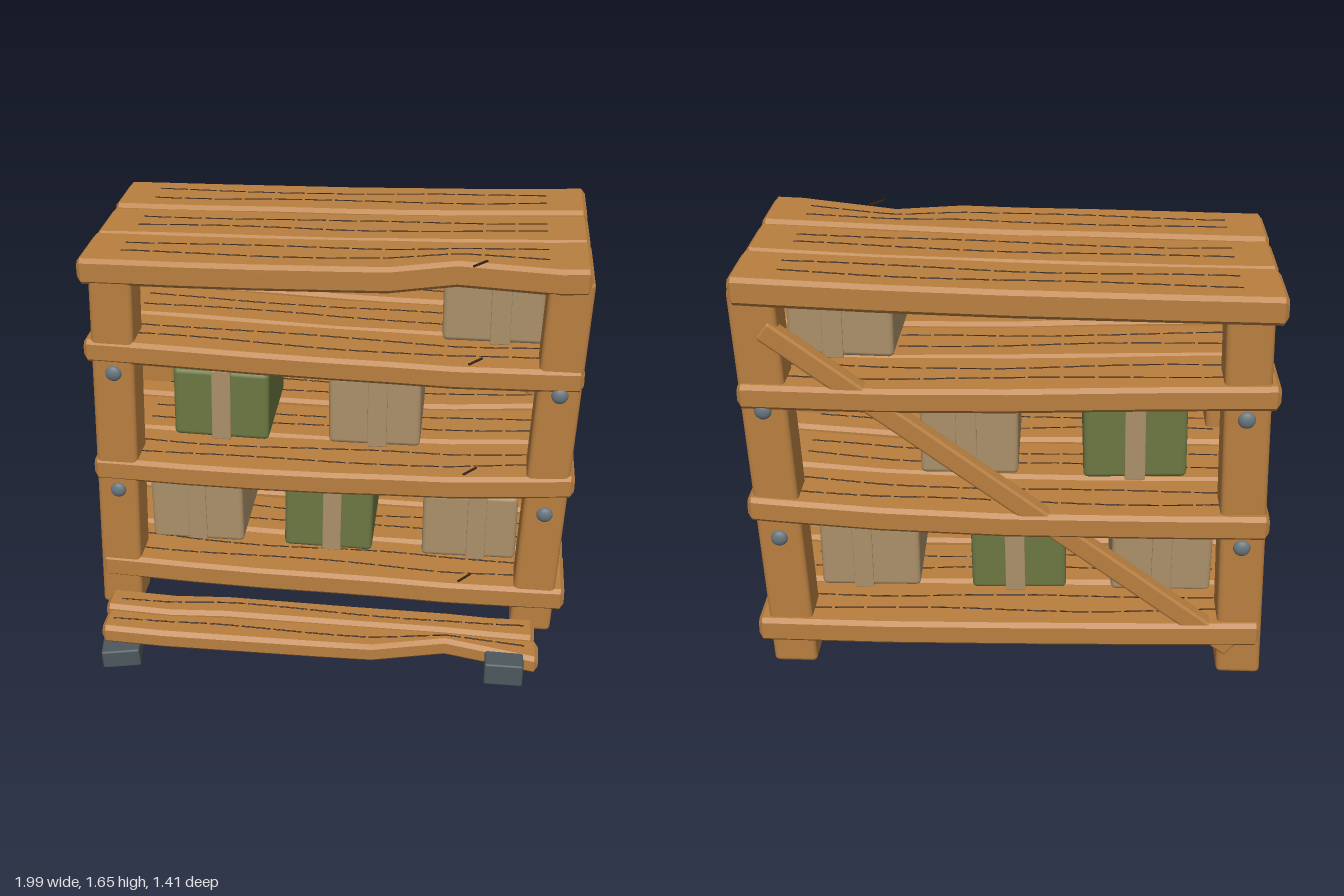
import * as THREE from 'three';
import { toCreasedNormals, mergeGeometries } from 'three/addons/utils/BufferGeometryUtils.js';
import { RoundedBoxGeometry } from 'three/addons/geometries/RoundedBoxGeometry.js';

const mat = (name, color) => {
  const m = new THREE.MeshStandardMaterial({ color });
  m.name = name;
  return m;
};

// Chamfered beam along x; each section is [x, yTop, yBottom, zBack, zFront]
function loft(sections, c) {
  const inset = ([x, t, b, k, f], dx) => [x + dx, t - c, b + c, k + c, f - c];
  const n = sections.length;
  const first = sections[0], last = sections[n - 1];
  const all = [
    inset(first, 0), [first[0] + c, ...first.slice(1)],
    ...sections.slice(1, -1),
    [last[0] - c, ...last.slice(1)], inset(last, 0),
  ];
  const pos = [], idx = [];
  for (const [x, t, b, k, f] of all) {
    pos.push(x, t, f - c, x, t - c, f, x, b + c, f, x, b, f - c);
    pos.push(x, b, k + c, x, b + c, k, x, t - c, k, x, t, k + c);
  }
  const rows = all.length, end = (rows - 1) * 8;
  for (let i = 0; i < rows - 1; i++) {
    for (let j = 0; j < 8; j++) {
      const a = i * 8 + j, b = i * 8 + (j + 1) % 8;
      idx.push(a, b, b + 8, a, b + 8, a + 8);
    }
  }
  for (let j = 1; j < 7; j++) idx.push(0, j + 1, j, end, end + j, end + j + 1);
  const g = new THREE.BufferGeometry();
  g.setAttribute('position', new THREE.Float32BufferAttribute(pos, 3));
  g.setIndex(idx);
  return toCreasedNormals(g, 0.5);
}

// Linear interpolation in a list of rows keyed by their first number
function sample(rows, x) {
  let i = 0;
  while (i < rows.length - 2 && x > rows[i + 1][0]) i++;
  const a = rows[i], b = rows[i + 1];
  const t = (x - a[0]) / (b[0] - a[0]);
  return a.map((v, j) => v + (b[j] - v) * t);
}

export function createModel() {
  const root = new THREE.Group();
  root.name = 'shelfRack';
  const wood = mat('wood', 0xb97f40);
  const grainDark = mat('darkGrain', 0x3a2413);
  const kraft = mat('cardboard', 0xab9069);
  const green = mat('greenCardboard', 0x6b7742);
  const bolt = mat('boltSteel', 0x68757d);
  const iron = mat('darkIron', 0x4d575d);

  const add = (name, geo, material, parent = root) => {
    const m = new THREE.Mesh(geo, material);
    m.name = name;
    parent.add(m);
    return m;
  };

  // Plank with broken grain lines following its top
  function plank(name, sections, fractions, phase) {
    const g = new THREE.Group();
    g.name = name;
    root.add(g);
    add('board', loft(sections, 0.016), wood, g);
    const dashes = [];
    fractions.forEach((f, k) => {
      const row = x => {
        const [, t, , zb, zf] = sample(sections, x);
        const z = zb + (zf - zb) * f + 0.01 * Math.sin(x * 5 + phase + k * 2);
        return [x, t + 0.003, t - 0.004, z - 0.003, z + 0.003];
      };
      for (let i = 0; i < 13; i++) {
        const x = -0.83 + i * 0.128;
        dashes.push(loft([row(x), row(x + 0.06), row(x + 0.116)], 0.001));
      }
    });
    add('grain', mergeGeometries(dashes), grainDark, g);
  }

  // Shelves: sagging top line and thickness of each level, three planks deep
  const levels = [
    { name: 'bottomShelf', h: 0.103, tops: [0.25, 0.237, 0.225, 0.217, 0.22] },
    { name: 'lowerShelf', h: 0.1, tops: [0.73, 0.723, 0.72, 0.735, 0.768] },
    { name: 'upperShelf', h: 0.097, tops: [1.27, 1.26, 1.24, 1.232, 1.24] },
    { name: 'topShelf', h: 0.107, tops: [1.613, 1.617, 1.625, 1.638, 1.657] },
  ];
  const stations = [-0.985, -0.55, 0, 0.5, 0.985];
  const rows = [
    { name: 'BackPlank', back: -0.71, front: -0.41, drop: 0 },
    { name: 'MiddlePlank', back: -0.393, front: -0.1, drop: 0.007 },
    { name: 'FrontPlank', back: -0.083, front: 0.22, drop: 0 },
  ];
  const xs = [-0.985, -0.8, -0.6, -0.3, 0, 0.22, 0.48, 0.87, 0.985];
  levels.forEach(({ name, h, tops }, level) => {
    const line = stations.map((x, i) => [x, tops[i]]);
    rows.forEach((r, k) => {
      const sections = xs.map((x, i) => {
        const y = sample(line, x)[1] - r.drop;
        const broken = level === 3 && k === 2 && i === 6;
        const wobble = 0.004 * Math.sin(x * 6 + k * 2);
        return [x, y, y - h, r.back + (k ? wobble : 0), broken ? 0.14 : r.front + wobble];
      });
      plank(name + r.name, sections, [0.34, 0.66], k * 1.7 + level);
    });
    // Splinter near the front edge
    const s = add(name + 'Splinter', new THREE.BoxGeometry(0.08, 0.006, 0.008), grainDark);
    s.position.set(0.565, sample(line, 0.565)[1] + 0.008, 0.17);
    s.rotation.y = 0.88;
  });

  // Four leaning posts with bolts on both faces
  for (const [side, x0, lean] of [['right', -0.913, 0.036], ['left', 0.85, 0.038]]) {
    for (const [end, z] of [['Front', 0.125], ['Back', -0.6]]) {
      const geo = new RoundedBoxGeometry(0.172, 1.6, 0.17, 2, 0.02);
      geo.translate(x0, 0.803, z);
      const p = geo.attributes.position;
      for (let i = 0; i < p.count; i++) p.setX(i, p.getX(i) + lean * p.getY(i));
      add(side + end + 'Post', geo, wood);
      for (const y of [0.587, 1.13]) {
        for (const s of [-1, 1]) {
          const b = add(side + end + 'Bolt', new THREE.SphereGeometry(0.033, 14, 10), bolt);
          b.scale.z = 0.6;
          b.position.set(x0 + lean * y + 0.003, y, z + s * 0.087);
        }
      }
    }
  }

  // Diagonal back brace
  const brace = add('backBrace', new RoundedBoxGeometry(2.2, 0.08, 0.065, 2, 0.012), wood);
  brace.position.set(0, 0.79, -0.668);
  brace.rotation.z = Math.atan(0.757);

  // Cartons: x, base y, width, tape offset, tilt, yaw, colour
  const cartons = [
    [-0.605, 0.232, 0.4, 0, 0, 0.01, kraft],
    [-0.032, 0.228, 0.38, 0.015, -0.02, 0.01, green],
    [0.57, 0.225, 0.4, 0.03, 0, 0.02, kraft],
    [-0.48, 0.752, 0.4, 0, -0.025, 0.01, green],
    [0.16, 0.755, 0.38, 0.012, 0, 0.01, kraft],
    [0.63, 1.25, 0.4, 0.03, 0.01, -0.02, kraft],
  ];
  cartons.forEach(([x, y, w, offset, tilt, yaw, colour], i) => {
    const g = new THREE.Group();
    g.name = 'carton' + (i + 1);
    g.position.set(x, y + 0.155, -0.22);
    g.rotation.set(0, yaw, tilt);
    root.add(g);
    add('box', new RoundedBoxGeometry(w, 0.308, 0.476, 2, 0.02), colour, g);
    const tape = add('tape', new RoundedBoxGeometry(0.08, 0.318, 0.486, 2, 0.004), kraft, g);
    tape.position.x = offset;
  });

  // Two halves of a broken board lying in front: x, zBack, zFront
  const loose = {
    looseInnerPlank: [
      [-0.885, 0.425, 0.552], [-0.62, 0.41, 0.537], [-0.4, 0.37, 0.498],
      [0.1, 0.325, 0.45], [0.5, 0.285, 0.41], [0.68, 0.275, 0.4], [0.865, 0.25, 0.385],
    ],
    looseOuterPlank: [
      [-0.865, 0.57, 0.7], [-0.62, 0.555, 0.685], [-0.4, 0.518, 0.662], [0, 0.475, 0.62],
      [0.21, 0.455, 0.595], [0.5, 0.425, 0.49], [0.68, 0.42, 0.51], [0.88, 0.4, 0.53],
    ],
  };
  Object.entries(loose).forEach(([name, pts], k) => {
    const sections = pts.map(([x, zb, zf]) => {
      const y = 0.168 - 0.081 * x + k * 0.004;
      return [x, y, y - 0.08, zb, zf];
    });
    plank(name, sections, [0.5], k);
  });

  // Iron blocks under the loose boards
  const blocks = [
    ['rightBlock', -0.815, 0.057, 0.59, 0.08, 0.06, 0.15],
    ['leftBlock', 0.742, 0.055, 0.52, 0.1, 0, 0],
  ];
  for (const [name, x, y, z, h, tilt, yaw] of blocks) {
    const b = add(name, new RoundedBoxGeometry(0.155, h, 0.15, 1, 0.008), iron);
    b.position.set(x, y, z);
    b.rotation.set(0, yaw, tilt);
  }
  return root;
}
